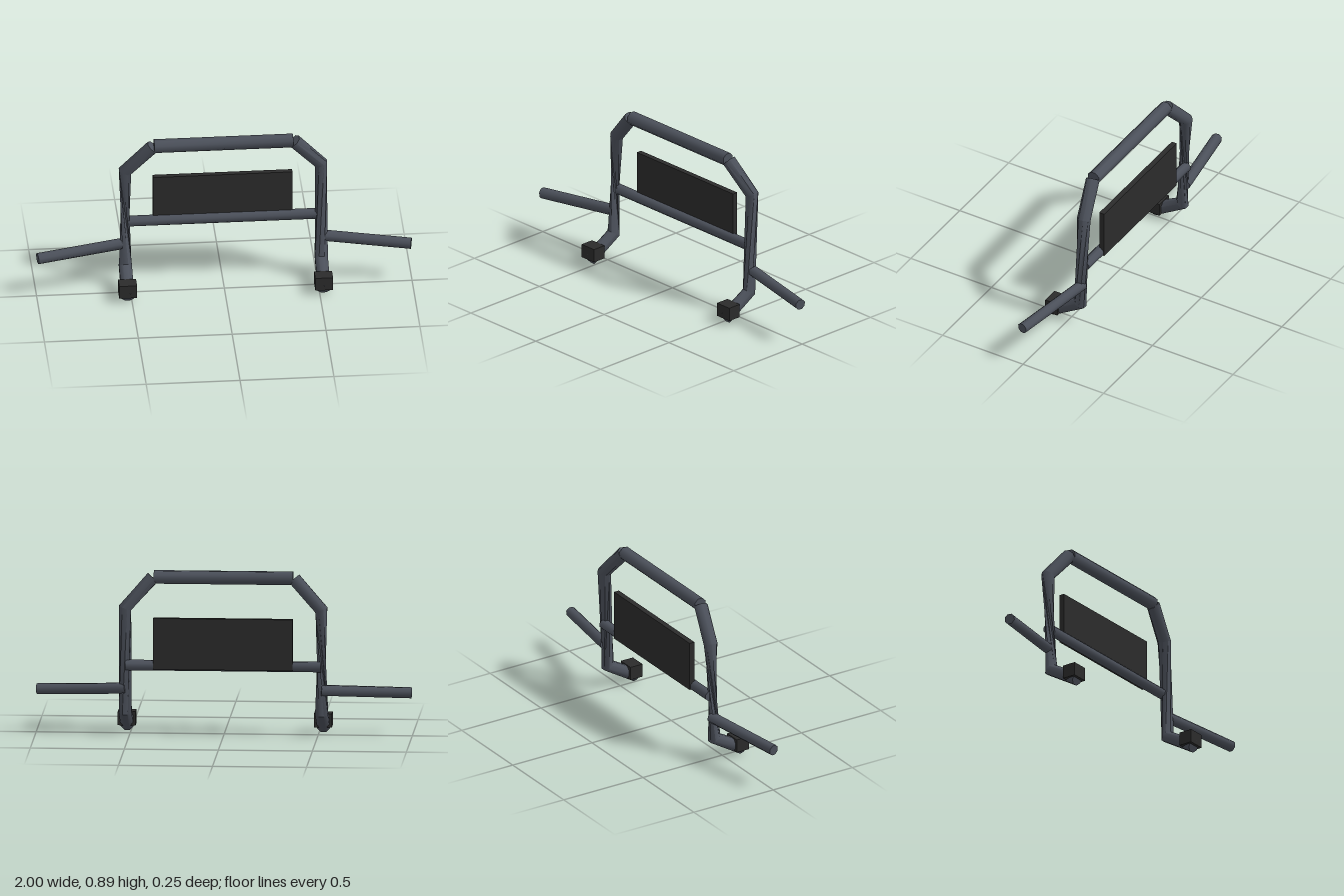
import * as THREE from 'three';
import { toCreasedNormals } from 'three/addons/utils/BufferGeometryUtils.js';

const SIDES = 8;

// Eight-sided tube through a few points, mitred at the bends and capped.
// twists turns each ring about the path, in radians.
function pipe(points, radius, twists = []) {
  const path = points.map((p) => new THREE.Vector3(...p));
  const last = path.length - 1;
  const pos = [];
  const index = [];
  path.forEach((c, i) => {
    const t = new THREE.Vector3();
    if (i > 0) t.add(c.clone().sub(path[i - 1]).normalize());
    if (i < last) t.add(path[i + 1].clone().sub(c).normalize());
    t.normalize();
    const ref = Math.abs(t.x) > 0.9 ? new THREE.Vector3(0, 1, 0) : new THREE.Vector3(1, 0, 0);
    const u = ref.addScaledVector(t, -ref.dot(t)).normalize();
    const v = t.clone().cross(u);
    for (let j = 0; j < SIDES; j++) {
      const a = ((j + 0.5) / SIDES) * Math.PI * 2 + (twists[i] || 0);
      const p = c.clone()
        .addScaledVector(u, Math.cos(a) * radius)
        .addScaledVector(v, Math.sin(a) * radius);
      pos.push(p.x, p.y, p.z);
    }
  });
  for (let i = 0; i < last; i++) {
    for (let j = 0; j < SIDES; j++) {
      const k = (j + 1) % SIDES;
      const a = i * SIDES + j, b = i * SIDES + k;
      index.push(a, b, a + SIDES, b, b + SIDES, a + SIDES);
    }
  }
  const end = last * SIDES;
  for (let j = 1; j < SIDES - 1; j++) {
    index.push(0, j + 1, j, end, end + j, end + j + 1);
  }
  const geo = new THREE.BufferGeometry();
  geo.setAttribute('position', new THREE.Float32BufferAttribute(pos, 3));
  geo.setIndex(index);
  return toCreasedNormals(geo, 0.85);
}

export function createModel() {
  const group = new THREE.Group();
  const steel = new THREE.MeshStandardMaterial({ color: 0x4b505a });
  steel.name = 'steel grey';
  const black = new THREE.MeshStandardMaterial({ color: 0x2b2b2b });
  black.name = 'matt black';

  const add = (name, geo, mat, x = 0, y = 0, z = 0) => {
    const mesh = new THREE.Mesh(geo, mat);
    mesh.name = name;
    mesh.position.set(x, y, z);
    group.add(mesh);
  };

  // Horizontal bars
  add('topBar', pipe([[-0.37, 0.855, -0.055], [0.37, 0.855, -0.055]], 0.037), steel);
  add('crossBar', pipe([[-0.52, 0.385, -0.09], [0.52, 0.385, -0.09]], 0.029), steel);

  // Plate behind the cross bar
  add('plate', new THREE.BoxGeometry(0.742, 0.275, 0.03), black, 0, 0.505, -0.107);

  for (const [side, s] of [['left', 1], ['right', -1]]) {
    // Upright with a forward foot and an inward-leaning shoulder
    const q = s * Math.PI / 2;
    add(side + 'Upright', pipe([
      [s * 0.522, 0.033, 0.107],
      [s * 0.522, 0.133, -0.065],
      [s * 0.522, 0.692, -0.087],
      [s * 0.377, 0.852, -0.055],
    ], 0.037, [0, 0, q, q]), steel);

    // Swept side arm
    add(side + 'Arm', pipe([[s * 0.52, 0.258, -0.08], [s * 0.995, 0.234, 0.008]], 0.03), steel);

    // Mounting block
    add(side + 'Mount', new THREE.BoxGeometry(0.095, 0.074, 0.076), black, s * 0.522, 0.072, 0.086);
  }
  return group;
}
